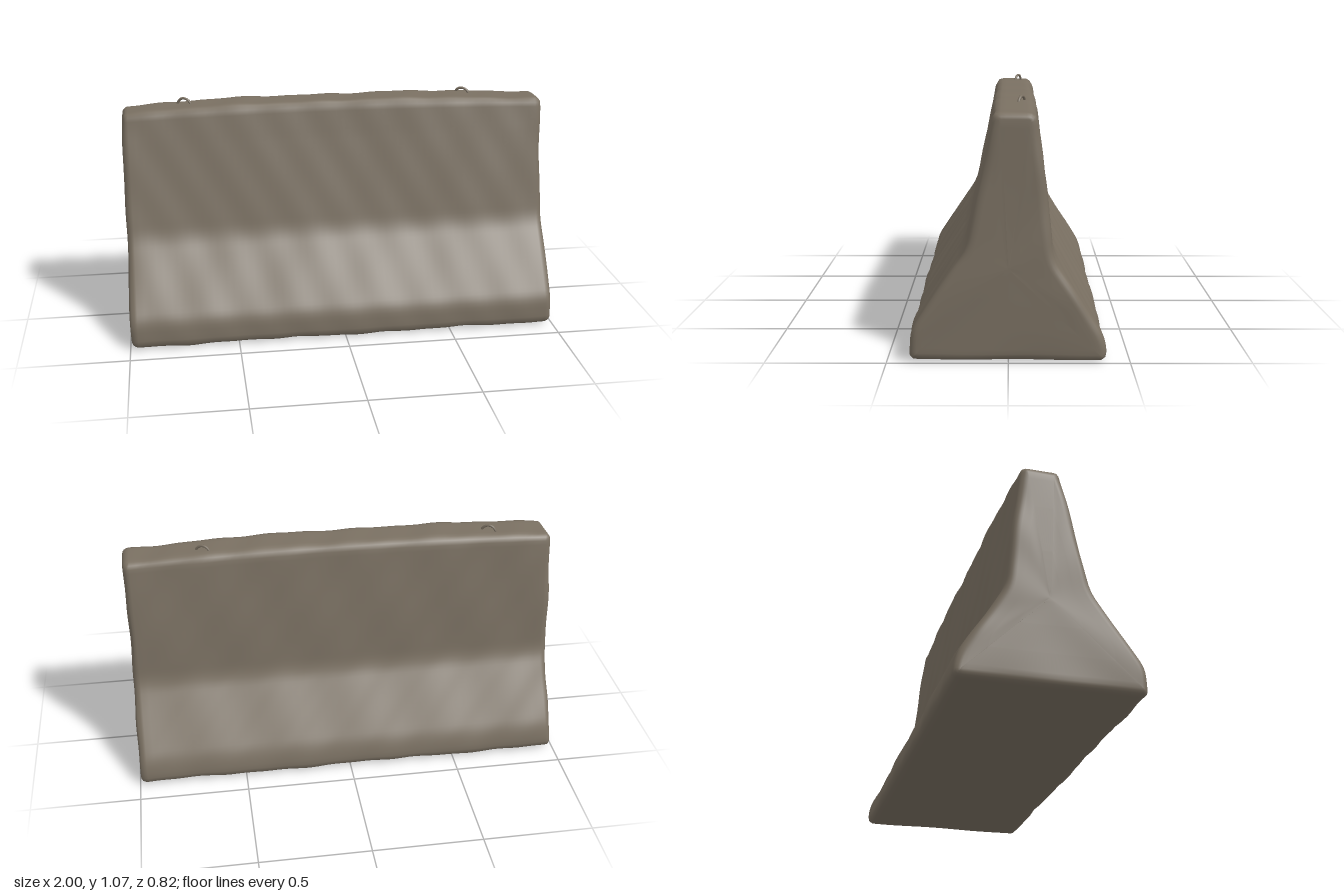
import * as THREE from 'three';

// corners of the barrier's cross-section: z, y, corner radius
const CORNERS = [
  [-0.405, 0.012, 0.035], [0.41, 0.015, 0.03], [0.402, 0.135, 0.04], [0.18, 0.465, 0.05],
  [0.058, 1.045, 0.025], [-0.115, 1.045, 0.035], [-0.158, 0.7, 0.1], [-0.182, 0.44, 0.05], [-0.395, 0.11, 0.06],
];

// closed outline with softened corners
function outline(count) {
  const path = new THREE.Path();
  const pts = CORNERS.map(([z, y]) => new THREE.Vector2(z, y));
  const n = pts.length;
  const toward = (a, b, d) => a.clone().add(b.clone().sub(a).setLength(d));
  pts.forEach((p, i) => {
    const r = CORNERS[i][2];
    const start = toward(p, pts[(i + n - 1) % n], r);
    const end = toward(p, pts[(i + 1) % n], r);
    if (i === 0) path.moveTo(start.x, start.y);
    else path.lineTo(start.x, start.y);
    path.quadraticCurveTo(p.x, p.y, end.x, end.y);
  });
  path.closePath();
  return path.getSpacedPoints(count).slice(0, count);
}

// gentle cast-concrete unevenness
function bump(x, y, z) {
  return 0.0025 * Math.sin(7 * x + 5 * y + 2 * z) + 0.002 * Math.sin(17 * x - 9 * y + 4 * z)
    + 0.0015 * Math.sin(31 * x + 13 * z + 21 * y);
}

function barrierGeometry() {
  const count = 150;
  const ring = outline(count);
  const normals = ring.map((p, j) => {
    const t = ring[(j + 1) % count].clone().sub(ring[(j + count - 1) % count]).normalize();
    return new THREE.Vector2(t.y, -t.x);
  });
  const centre = new THREE.Vector2(0, 0.4);

  // cross-sections: x, inset of the outline, shrink toward the centre
  const R = 0.03;
  const end = [[0.993, R, 0.05], [0.993, R, 0.35], [0.993, R, 0.7], [0.993, R, 0.94], [0.992, R, 1]];
  for (let k = 1; k <= 4; k++) {
    const a = (k / 4) * Math.PI / 2;
    end.push([0.992 - R * (1 - Math.cos(a)), R * (1 - Math.sin(a)), 1]);
  }
  const sections = end.map(([x, i, s]) => [-x, i, s]);
  for (let k = 1; k < 60; k++) sections.push([-0.962 + 1.924 * k / 60, 0, 1]);
  sections.push(...end.slice().reverse());

  const pos = [], index = [];
  for (const [x, inset, s] of sections) {
    ring.forEach((p, j) => {
      const q = p.clone().addScaledVector(normals[j], -inset).sub(centre).multiplyScalar(s).add(centre);
      const b = bump(x, q.y, q.x);
      const crown = q.y > 0.9 ? (q.y - 0.9) * 0.09 * (1 - 2 * x * x) : 0;
      const endBump = Math.abs(x) > 0.98 ? b * Math.sign(x) : 0;
      pos.push(x + endBump, q.y + normals[j].y * b * s + crown, q.x + normals[j].x * b * s);
    });
  }
  const last = sections.length - 1;
  for (let i = 0; i < last; i++) {
    for (let j = 0; j < count; j++) {
      const k = (j + 1) % count;
      const a = i * count + j, b = a + count, d = i * count + k, c = d + count;
      index.push(a, b, c, a, c, d);
    }
  }
  // close both end faces
  pos.push(-0.993, centre.y, centre.x, 0.993, centre.y, centre.x);
  const left = sections.length * count;
  for (let j = 0; j < count; j++) {
    const k = (j + 1) % count;
    index.push(left, j, k, left + 1, last * count + k, last * count + j);
  }
  const geo = new THREE.BufferGeometry();
  geo.setAttribute('position', new THREE.Float32BufferAttribute(pos, 3));
  geo.setIndex(index);
  geo.computeVertexNormals();
  return geo;
}

export function createModel() {
  const group = new THREE.Group();
  const concrete = new THREE.MeshStandardMaterial({ color: 0x7a7062 });
  concrete.name = 'concrete';

  const barrier = new THREE.Mesh(barrierGeometry(), concrete);
  barrier.name = 'barrier';
  group.add(barrier);

  // lifting loops on the top
  const loopCurve = new THREE.CatmullRomCurve3([
    [-0.036, -0.03], [-0.034, 0.012], [-0.018, 0.033], [0.006, 0.036], [0.028, 0.02], [0.034, -0.03],
  ].map(([x, y]) => new THREE.Vector3(x, y, 0)));
  const loopGeometry = new THREE.TubeGeometry(loopCurve, 24, 0.006, 8);
  for (const [name, x, z] of [['rightLiftingLoop', -0.7, -0.048], ['leftLiftingLoop', 0.63, -0.056]]) {
    const loop = new THREE.Mesh(loopGeometry, concrete);
    loop.name = name;
    loop.position.set(x, 1.032, z);
    loop.rotation.y = -0.45;
    group.add(loop);
  }
  return group;
}
